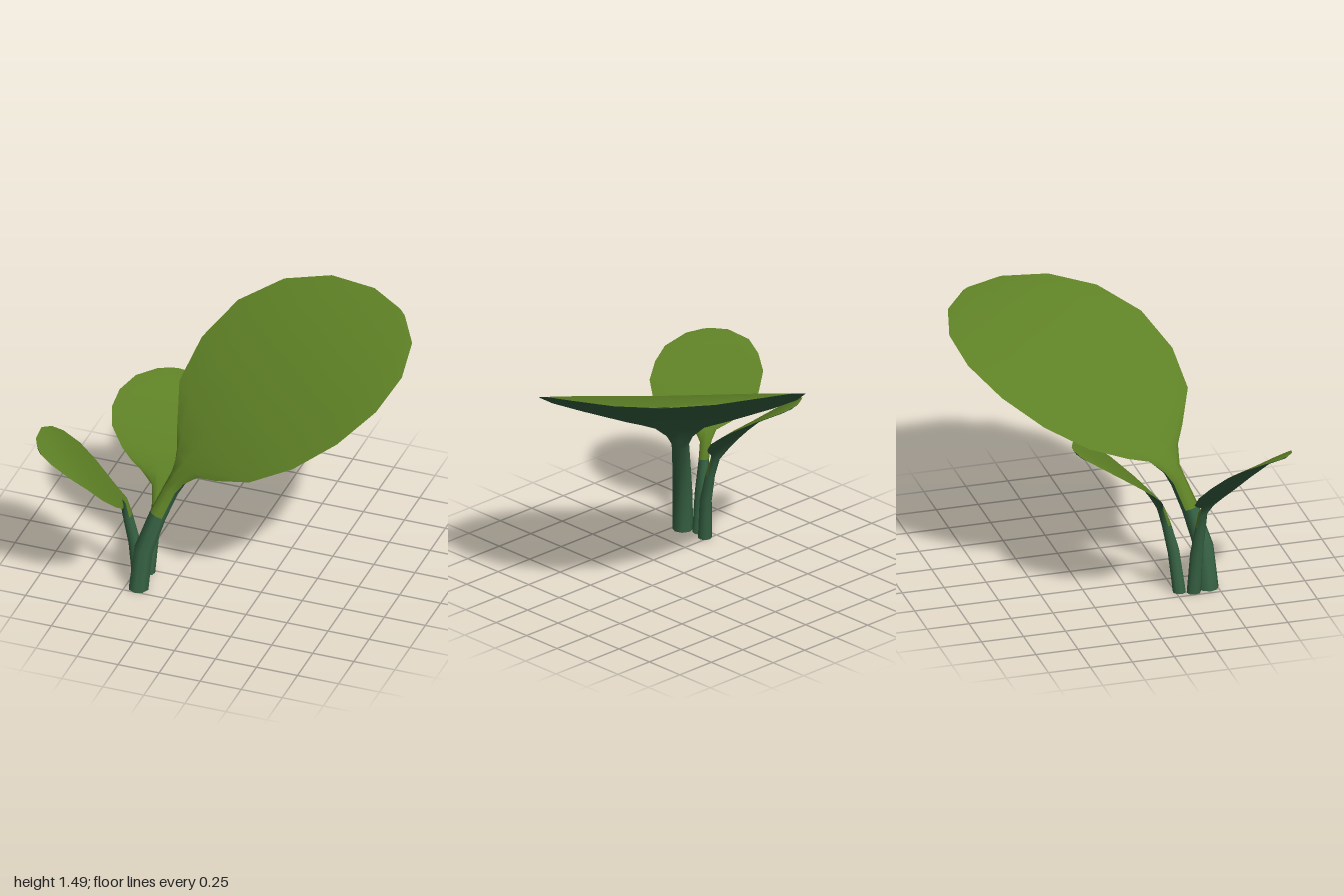
import * as THREE from 'three';

const SIDES = 8; // points around each cross-section

function createMaterials() {
  const leafGreen = new THREE.MeshStandardMaterial({ color: 0x5f8226 });
  leafGreen.name = 'leafGreen';
  const stemGreen = new THREE.MeshStandardMaterial({ color: 0x376344 });
  stemGreen.name = 'stemGreen';
  return { leafGreen, stemGreen };
}

// One stalk that flattens into a round blade.
// Each section is [distance along the leaf, height, half width, half thickness, sideways shift].
function createLeaf(name, spec, materials) {
  const { origin, direction, sections, greenFrom, roll = 0, skew = 0, cup = 0 } = spec;
  const length = Math.hypot(...direction);
  const dx = direction[0] / length, dz = direction[1] / length;

  // Rings of points across the path
  const positions = [];
  sections.forEach(([along, y, halfWidth, halfThick, shift = 0], i) => {
    const before = sections[Math.max(i - 1, 0)];
    const after = sections[Math.min(i + 1, sections.length - 1)];
    let ta = after[0] - before[0], ty = after[1] - before[1];
    if (i === 0) { ta = 0; ty = 1; } // the foot is cut level
    const t = Math.hypot(ta, ty);
    const isBlade = halfWidth > halfThick * 3;
    for (let k = 0; k < SIDES; k++) {
      const angle = (k / SIDES) * Math.PI * 2;
      const u = Math.cos(angle) * halfWidth;
      const dip = isBlade ? cup * halfWidth * (1 - Math.cos(angle) ** 2) : 0;
      const v = Math.sin(angle) * halfThick - dip;
      const a = along - (ty / t) * v + skew * u;
      const side = u + shift;
      positions.push(
        origin[0] + dx * a - dz * side,
        y + (ta / t) * v + (i ? roll * u : 0),
        origin[1] + dz * a + dx * side
      );
    }
  });

  // Upper faces go to the blade, all others to the stalk and underside
  const topFaces = [], underFaces = [];
  for (let i = 0; i < sections.length - 1; i++) {
    for (let k = 0; k < SIDES; k++) {
      const a = i * SIDES + k, b = i * SIDES + (k + 1) % SIDES;
      const c = a + SIDES, d = b + SIDES;
      const target = k < SIDES / 2 && i >= greenFrom ? topFaces : underFaces;
      target.push(a, c, b, b, c, d);
    }
  }
  // Closed tip
  const last = (sections.length - 1) * SIDES;
  for (let k = 1; k < SIDES - 1; k++) underFaces.push(last, last + k + 1, last + k);

  const group = new THREE.Group();
  group.name = name;
  const addMesh = (part, points, faces, material) => {
    const geometry = new THREE.BufferGeometry();
    geometry.setAttribute('position', new THREE.Float32BufferAttribute(points, 3));
    geometry.setIndex(faces);
    geometry.computeVertexNormals();
    const mesh = new THREE.Mesh(geometry, material);
    mesh.name = part;
    group.add(mesh);
  };
  addMesh('bladeTop', positions, topFaces, materials.leafGreen);
  addMesh('stalkAndUnderside', positions, underFaces, materials.stemGreen);

  // Flat foot of the stalk
  const footFaces = [];
  for (let k = 1; k < SIDES - 1; k++) footFaces.push(0, k, k + 1);
  addMesh('stalkFoot', positions.slice(0, SIDES * 3), footFaces, materials.stemGreen);
  return group;
}

const LEAVES = {
  largeLeaf: {
    origin: [-0.26, 0.3], direction: [1.04, -0.94], greenFrom: 2, roll: -0.045, cup: 0.03,
    sections: [
      [-0.22, 0, 0.06, 0.06], [-0.19, 0.25, 0.057, 0.057], [-0.1, 0.47, 0.052, 0.05],
      [-0.02, 0.62, 0.05, 0.045], [0.025, 0.69, 0.075, 0.035], [0.078, 0.775, 0.156, 0.026],
      [0.135, 0.83, 0.297, 0.022], [0.245, 0.95, 0.539, 0.02], [0.447, 1.095, 0.7, 0.02],
      [0.694, 1.245, 0.764, 0.02], [0.956, 1.365, 0.707, 0.018], [1.182, 1.44, 0.541, 0.016],
      [1.345, 1.475, 0.29, 0.012], [1.4, 1.485, 0.04, 0.006]
    ]
  },
  frontLeaf: {
    origin: [-0.54, 0.38], direction: [-1, 1], greenFrom: 2, roll: 0.13, skew: -0.08, cup: 0.03,
    sections: [
      [-0.078, 0, 0.04, 0.04, -0.035], [-0.055, 0.25, 0.036, 0.036, -0.025], [-0.02, 0.43, 0.03, 0.03, -0.01],
      [0, 0.53, 0.033, 0.022], [0.032, 0.585, 0.06, 0.018], [0.057, 0.62, 0.15, 0.013],
      [0.09, 0.66, 0.23, 0.011], [0.16, 0.74, 0.3, 0.01], [0.255, 0.83, 0.325, 0.01],
      [0.34, 0.905, 0.295, 0.009], [0.425, 0.96, 0.24, 0.008], [0.506, 0.995, 0.12, 0.006],
      [0.53, 1.0, 0.03, 0.003]
    ]
  },
  backLeaf: {
    origin: [-0.42, 0.17], direction: [-0.15, -0.99], greenFrom: 2, cup: 0.03,
    sections: [
      [-0.1, 0, 0.04, 0.04, -0.025], [-0.075, 0.25, 0.034, 0.036, 0], [-0.035, 0.42, 0.028, 0.028, 0.01],
      [0, 0.53, 0.035, 0.022, 0.01], [0.037, 0.595, 0.095, 0.015], [0.065, 0.64, 0.16, 0.013],
      [0.104, 0.69, 0.22, 0.011], [0.187, 0.775, 0.296, 0.01], [0.28, 0.85, 0.315, 0.01],
      [0.369, 0.91, 0.29, 0.009], [0.458, 0.96, 0.214, 0.008], [0.52, 0.983, 0.1, 0.006],
      [0.535, 0.987, 0.03, 0.003]
    ]
  }
};

export function createModel() {
  const model = new THREE.Group();
  model.name = 'seedling';
  const materials = createMaterials();
  for (const [name, spec] of Object.entries(LEAVES)) model.add(createLeaf(name, spec, materials));
  return model;
}
